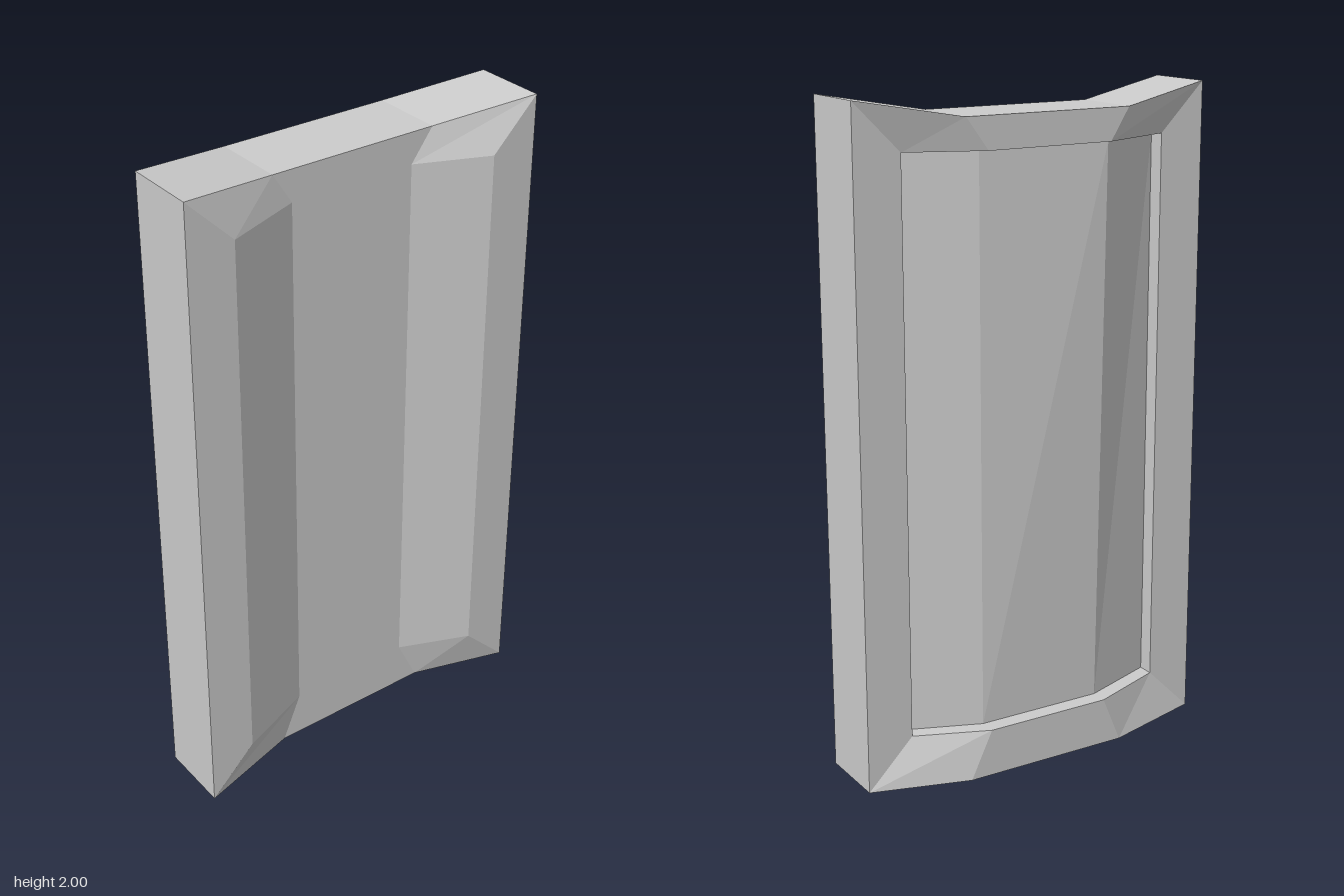
import * as THREE from 'three';

// Closed ring of eight corners: along the bottom from front to back, then back along the top
function ring(zs, xs, bottom, top) {
  const low = zs.map((z, i) => [xs[i], bottom, z]);
  const high = zs.map((z, i) => [xs[i], top[i], z]).reverse();
  return [...low, ...high];
}

// Flat-shaded mesh from a list of four-cornered faces
function quadMesh(name, quads, material) {
  const points = quads.flatMap(([a, b, c, d]) => [a, b, c, a, c, d]).flat();
  const geometry = new THREE.BufferGeometry();
  geometry.setAttribute('position', new THREE.Float32BufferAttribute(points, 3));
  geometry.computeVertexNormals();
  const mesh = new THREE.Mesh(geometry, material);
  mesh.name = name;
  return mesh;
}

// Band of faces joining two rings
const band = (a, b) => a.map((p, i) => {
  const j = (i + 1) % a.length;
  return [p, a[j], b[j], b[i]];
});

// Three-part folded sheet filling a ring
const sheet = (r) => [0, 1, 2].map((i) => [r[i], r[i + 1], r[6 - i], r[7 - i]]);

export function createModel() {
  const group = new THREE.Group();
  group.name = 'foldedPanel';
  const material = new THREE.MeshStandardMaterial({ color: 0xcccccc, flatShading: true });

  const outerZ = [0.575, 0.25, -0.28, -0.575];
  const innerZ = [0.43, 0.19, -0.21, -0.43];
  const concaveX = [0.155, 0.065, 0.065, 0.155];
  const convexX = [-0.07, -0.16, -0.16, -0.07];
  const recessX = [-0.02, -0.107, -0.107, -0.02];
  const outerTop = [2, 1.95, 1.95, 2];
  const innerTop = [1.855, 1.855, 1.855, 1.855];

  const concaveOuter = ring(outerZ, concaveX, 0, outerTop);
  const concaveInner = ring(innerZ, concaveX, 0.145, innerTop);
  const convexOuter = ring(outerZ, convexX, 0, outerTop);
  const convexInner = ring(innerZ, convexX, 0.145, innerTop);
  const recess = ring(innerZ, recessX, 0.145, innerTop);
  recess[6][0] = -0.145; // the recess runs shallow at its upper front fold

  // Outer edge and the raised frames on both sides
  group.add(quadMesh('outerEdge', band(convexOuter, concaveOuter), material));
  group.add(quadMesh('concaveFrame', band(concaveOuter, concaveInner), material));
  group.add(quadMesh('convexFrame', band(convexInner, convexOuter), material));

  // Sunken panel with its walls, and the flush panel on the concave side
  group.add(quadMesh('recessWalls', band(recess, convexInner), material));
  group.add(quadMesh('recessedPanel', sheet(recess).map((q) => q.reverse()), material));
  group.add(quadMesh('flushPanel', sheet(concaveInner), material));
  return group;
}
